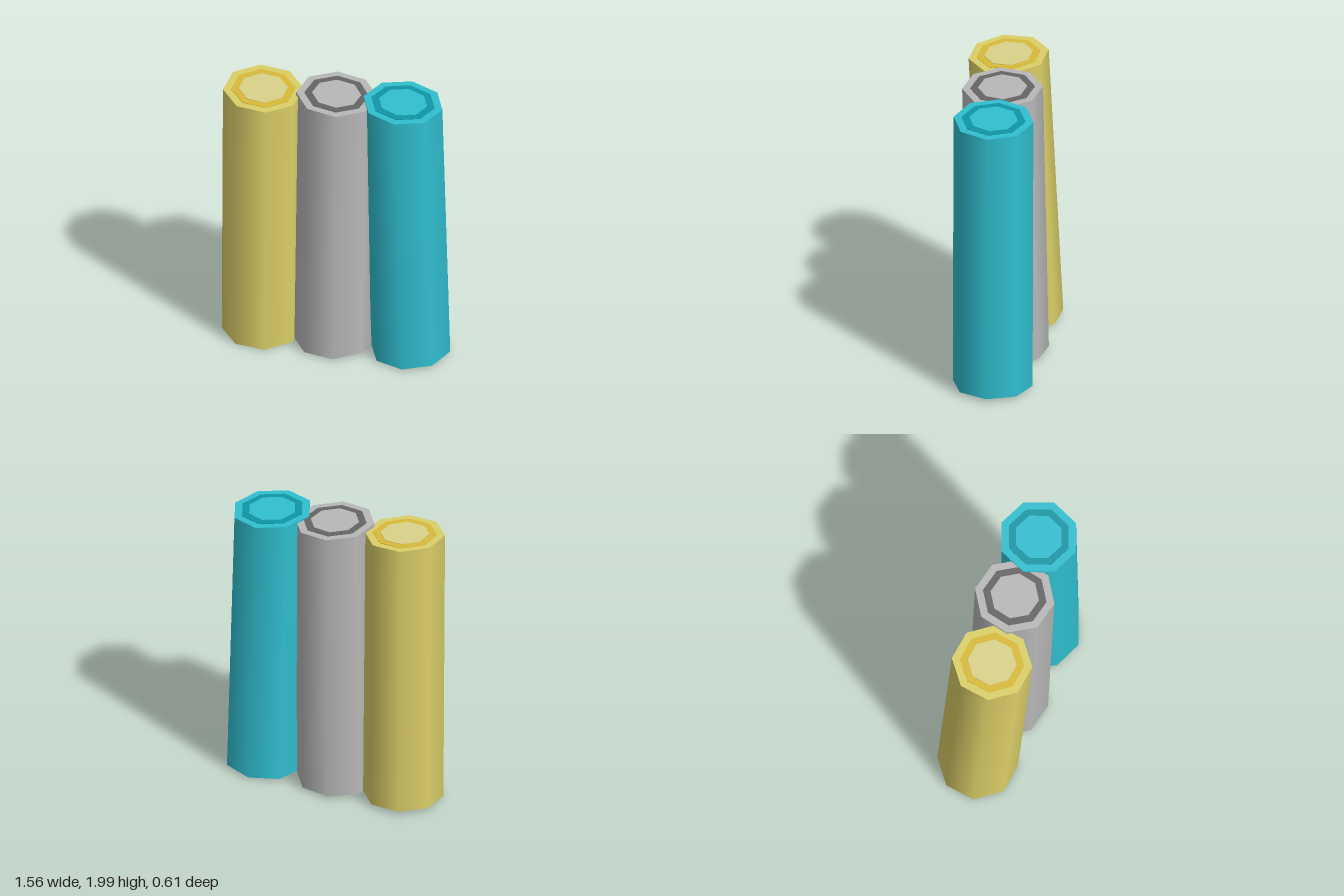
import * as THREE from 'three';

const R = 0.27;
const mat = (name, color) => {
  const m = new THREE.MeshStandardMaterial({ color });
  m.name = name;
  return m;
};

export function createModel() {
  const yellow = mat('yellow', 0xdbcf68);
  const gold = mat('gold', 0xd8ba38);
  const cream = mat('paleYellow', 0xdad28a);
  const grey = mat('grey', 0xb8b8b8);
  const darkGrey = mat('darkGrey', 0x656565);
  const cyan = mat('cyan', 0x30bfd0);
  const teal = mat('teal', 0x1096a4);

  // each end: centre x, y, z, then the slope of its cut along x and z
  const columns = [
    { name: 'yellowColumn', phase: 28, body: yellow, ring: gold, core: cream,
      bottom: [-0.525, 0.022, -0.05, -0.015, -0.05], top: [-0.495, 1.978, 0.043, -0.04, -0.05] },
    { name: 'greyColumn', phase: 33.5, body: grey, ring: darkGrey, core: grey,
      bottom: [-0.03, 0.02, -0.033, 0, -0.01], top: [-0.002, 1.98, 0.002, -0.05, -0.01] },
    { name: 'cyanColumn', phase: 0, body: cyan, ring: teal, core: cyan,
      bottom: [0.503, 0.022, -0.015, 0.045, 0], top: [0.45, 1.97, -0.012, -0.055, 0] },
  ];

  const model = new THREE.Group();
  model.name = 'threeColumns';

  for (const c of columns) {
    const column = new THREE.Group();
    column.name = c.name;

    // eight-sided prism whose ends are moved onto the leaning, sloped cuts
    const addPrism = (name, radius, y0, y1, material) => {
      const g = new THREE.CylinderGeometry(radius, radius, y1 - y0, 8, 1, false,
        THREE.MathUtils.degToRad(-c.phase));
      g.translate(0, (y0 + y1) / 2, 0);
      const p = g.attributes.position;
      for (let i = 0; i < p.count; i++) {
        const x = p.getX(i), y = p.getY(i), z = p.getZ(i);
        const [cx, cy, cz, sx, sz] = y > 0.5 ? c.top : c.bottom;
        const lift = y > 0.5 ? y - 1 : y;
        p.setXYZ(i, cx + x, cy + lift + sx * x + sz * z, cz + z);
      }
      const mesh = new THREE.Mesh(g, material);
      mesh.name = name;
      column.add(mesh);
    };

    addPrism('body', R, 0, 1, c.body);
    // inlaid ring and core on both ends
    addPrism('topRing', R * 0.8, 1, 1.003, c.ring);
    addPrism('topCore', R * 0.61, 1, 1.006, c.core);
    addPrism('bottomRing', R * 0.8, -0.003, 0, c.ring);
    addPrism('bottomCore', R * 0.61, -0.006, 0, c.core);
    model.add(column);
  }
  return model;
}
